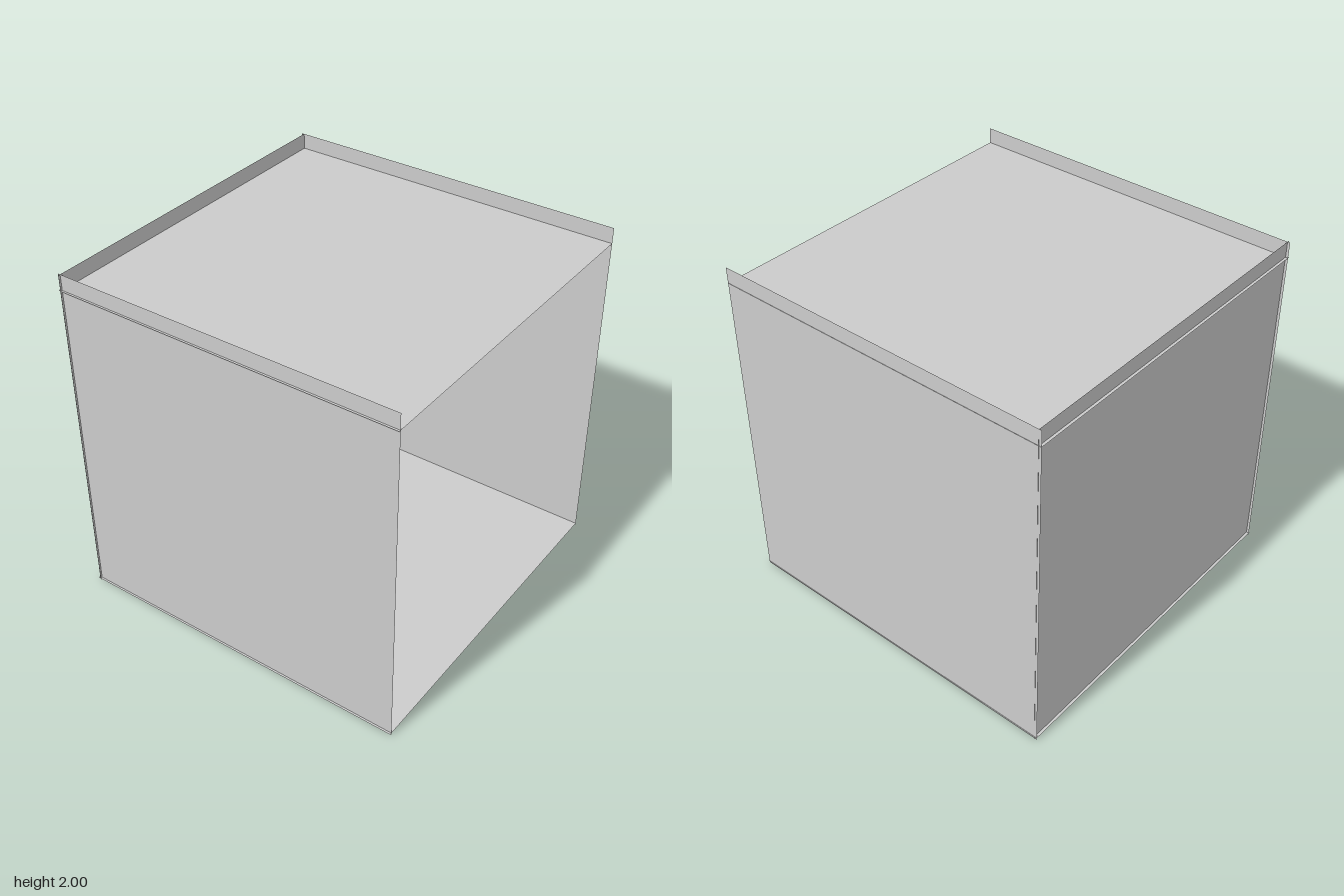
import * as THREE from 'three';

const grey = new THREE.MeshStandardMaterial({ color: 0xcccccc });
const thin = new THREE.MeshStandardMaterial({ color: 0xcccccc, side: THREE.DoubleSide });

function add(parent, name, geometry, x = 0, y = 0, z = 0, material = grey) {
  const mesh = new THREE.Mesh(geometry, material);
  mesh.name = name;
  mesh.position.set(x, y, z);
  parent.add(mesh);
  return mesh;
}

// Straight-segmented pipe through [x, y, z] points
function pipe(parent, name, points, r) {
  const path = new THREE.CurvePath();
  const v = points.map((p) => new THREE.Vector3(...p));
  for (let i = 1; i < v.length; i++) path.add(new THREE.LineCurve3(v[i - 1], v[i]));
  return add(parent, name, new THREE.TubeGeometry(path, (v.length - 1) * 6, r, 8), 0, 0, 0, thin);
}

// Side outline in x, y extruded symmetrically across z
function slab(parent, name, shape, width, bevel) {
  const g = new THREE.ExtrudeGeometry(shape, {
    depth: width - 2 * bevel, bevelThickness: bevel, bevelSize: bevel, bevelOffset: -bevel,
    bevelSegments: 5, curveSegments: 10,
  });
  g.translate(0, 0, -width / 2 + bevel);
  return add(parent, name, g);
}

// Rod along z
const rod = (r, length, sides = 20) => new THREE.CylinderGeometry(r, r, length, sides).rotateX(Math.PI / 2);

function makeRoom() {
  const room = new THREE.Group();
  room.name = 'room';
  const flat = () => new THREE.PlaneGeometry(2, 2);
  add(room, 'floor', flat().rotateX(-Math.PI / 2), 0, 0.012, 0, thin);
  add(room, 'ceiling', flat().rotateX(-Math.PI / 2), 0, 1.91, 0, thin);
  add(room, 'backWall', flat(), 0, 1, -0.985, thin);
  add(room, 'leftWall', flat().rotateY(-Math.PI / 2), 0.998, 1, 0, thin);
  add(room, 'rightWall', flat().rotateY(Math.PI / 2), -0.988, 1, 0, thin);
  return room;
}

function makeWheel(name, x) {
  const wheel = new THREE.Group();
  wheel.name = name;
  wheel.position.set(x, 0.134, 0);
  const tyre = add(wheel, 'tyre', new THREE.TorusGeometry(0.085, 0.017, 12, 40));
  tyre.scale.z = 0.95;
  // Dished disc inside the tyre
  const profile = [[0, 0.014], [0.02, 0.013], [0.055, 0.006], [0.075, 0.007],
    [0.075, -0.007], [0.055, -0.006], [0.02, -0.013], [0, -0.014]]
    .map(([r, y]) => new THREE.Vector2(r, y)).reverse();
  add(wheel, 'wheelDisc', new THREE.LatheGeometry(profile, 36).rotateX(Math.PI / 2));
  add(wheel, 'axle', rod(0.007, 0.064, 12));
  return wheel;
}

function makeMotorcycle() {
  const bike = new THREE.Group();
  bike.name = 'motorcycle';
  bike.add(makeWheel('frontWheel', -0.214), makeWheel('rearWheel', 0.23));

  // Fuel tank
  const tank = new THREE.Shape();
  tank.moveTo(-0.11, 0.235);
  tank.bezierCurveTo(-0.13, 0.3, -0.09, 0.305, -0.05, 0.305);
  tank.bezierCurveTo(0.02, 0.305, 0.06, 0.285, 0.072, 0.238);
  tank.lineTo(-0.11, 0.235);
  slab(bike, 'fuelTank', tank, 0.078, 0.018);
  add(bike, 'fuelCap', new THREE.CylinderGeometry(0.01, 0.01, 0.008, 16), -0.055, 0.305, 0);

  // Seat with a raised tail
  const seat = new THREE.Shape();
  seat.moveTo(0.06, 0.233);
  seat.lineTo(0.195, 0.233);
  seat.lineTo(0.23, 0.248);
  seat.quadraticCurveTo(0.235, 0.262, 0.22, 0.26);
  seat.quadraticCurveTo(0.17, 0.245, 0.12, 0.256);
  seat.quadraticCurveTo(0.09, 0.262, 0.062, 0.262);
  slab(bike, 'seat', seat, 0.062, 0.007);

  // Headlight
  const lamp = [[0, -0.016], [0.029, -0.013], [0.032, -0.006], [0.029, 0.008], [0.018, 0.022], [0, 0.026]]
    .map(([r, y]) => new THREE.Vector2(r, y));
  add(bike, 'headlight', new THREE.LatheGeometry(lamp, 28).rotateZ(-Math.PI / 2 + 0.1), -0.16, 0.287, 0);

  // Parts mirrored to each side
  for (const s of [-1, 1]) {
    const fork = s * 0.028, f = s * 0.022, r = s * 0.026;
    pipe(bike, 'forkTube', [[-0.214, 0.134, fork], [-0.118, 0.32, fork]], 0.006);
    pipe(bike, 'forkSlider', [[-0.217, 0.128, fork], [-0.168, 0.224, fork]], 0.009);
    pipe(bike, 'frameLoop', [[-0.105, 0.255, f * 0.4], [-0.085, 0.21, f], [-0.06, 0.095, f],
      [0.065, 0.095, f], [0.095, 0.135, f], [0.06, 0.235, f]], 0.005);
    pipe(bike, 'upperRail', [[-0.105, 0.235, f * 0.4], [0.06, 0.235, f], [0.2, 0.235, r]], 0.005);
    pipe(bike, 'rearStay', [[0.095, 0.135, f], [0.165, 0.23, r]], 0.005);
    pipe(bike, 'shockAbsorber', [[0.165, 0.23, r], [0.235, 0.138, r]], 0.007);
    pipe(bike, 'swingArm', [[0.085, 0.13, f], [0.24, 0.132, r]], 0.006);
    pipe(bike, 'handlebar', [[-0.125, 0.312, 0], [-0.125, 0.318, s * 0.03], [-0.112, 0.31, s * 0.085]], 0.005);
    pipe(bike, 'handGrip', [[-0.116, 0.313, s * 0.065], [-0.108, 0.306, s * 0.1]], 0.008);
    pipe(bike, 'exhaust', [[-0.045, 0.19, s * 0.02], [-0.072, 0.17, s * 0.032], [-0.07, 0.09, s * 0.032],
      [-0.05, 0.075, s * 0.032], [0.065, 0.075, s * 0.032]], 0.007);
    add(bike, 'footPeg', rod(0.005, 0.035, 8), 0.08, 0.125, s * 0.042);
  }

  // Fork clamps
  for (const [x, y] of [[-0.125, 0.306], [-0.148, 0.262]]) {
    add(bike, 'forkClamp', new THREE.BoxGeometry(0.026, 0.008, 0.07), x, y, 0).rotation.z = -0.45;
  }
  pipe(bike, 'steeringHead', [[-0.135, 0.255, 0], [-0.108, 0.305, 0]], 0.009);

  // Engine: crankcase, finned cylinder, carburettor and side covers
  const crankcase = new THREE.Shape();
  [[-0.052, 0.1], [0.058, 0.1], [0.072, 0.13], [0.058, 0.168], [-0.045, 0.172], [-0.062, 0.14]]
    .forEach(([x, y], i) => (i ? crankcase.lineTo(x, y) : crankcase.moveTo(x, y)));
  slab(bike, 'crankcase', crankcase, 0.058, 0.006);
  add(bike, 'clutchCover', rod(0.026, 0.072, 28), 0.022, 0.137, 0);
  add(bike, 'crankCover', rod(0.02, 0.068, 28), -0.028, 0.135, 0);
  add(bike, 'cylinder', new THREE.BoxGeometry(0.046, 0.055, 0.042), -0.026, 0.195, 0);
  for (let i = 0; i < 5; i++) {
    add(bike, 'coolingFin', new THREE.BoxGeometry(0.06, 0.004, 0.056), -0.026, 0.178 + i * 0.01, 0);
  }
  add(bike, 'carburettor', new THREE.CylinderGeometry(0.01, 0.01, 0.045, 14).rotateZ(Math.PI / 2), 0.02, 0.2, 0);
  add(bike, 'airFilter', new THREE.BoxGeometry(0.025, 0.036, 0.034), 0.05, 0.2, 0);
  return bike;
}

export function createModel() {
  const model = new THREE.Group();
  model.name = 'motorcycleInRoom';
  model.add(makeRoom(), makeMotorcycle());
  return model;
}
